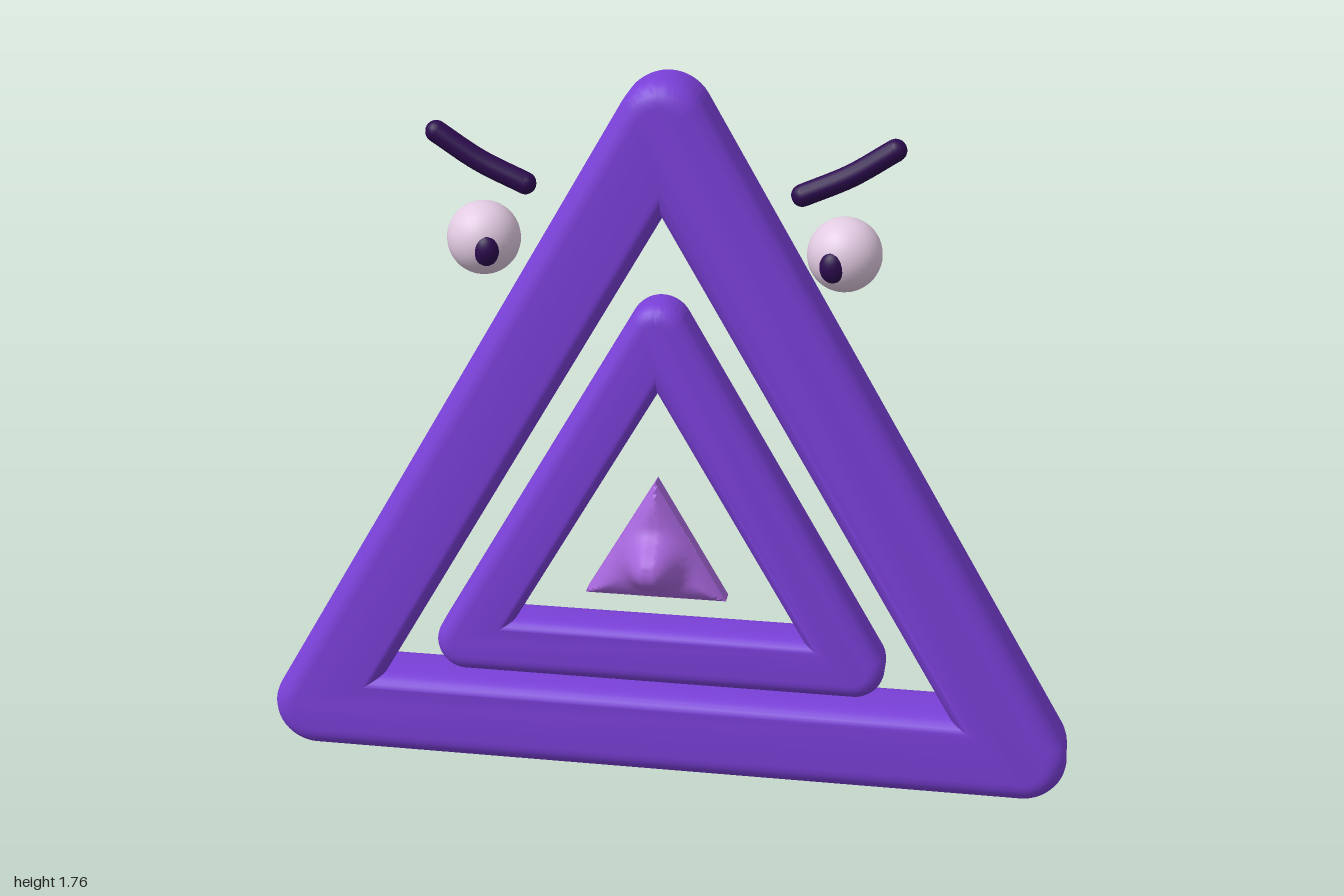
import * as THREE from 'three';
import { toCreasedNormals } from 'three/addons/utils/BufferGeometryUtils.js';

const S3 = Math.sqrt(3);

export function createModel() {
  const mat = (name, color) => new THREE.MeshStandardMaterial({ name, color });
  const violet = mat('violet', 0x7a40d8);
  const orchid = mat('orchid', 0xa766dc);
  const paleLilac = mat('paleLilac', 0xe2cbe2);
  const darkPurple = mat('darkPurple', 0x2c0b4e);

  const root = new THREE.Group();
  root.name = 'triangleFace';
  const add = (parent, name, geometry, material) => {
    const m = new THREE.Mesh(geometry, material);
    m.name = name;
    parent.add(m);
    return m;
  };

  // Equilateral frame: centreline half width w and base y, bar half width r
  const frame = (name, w, y, r, zBack, zFront, bevel) => {
    const shape = new THREE.Shape();
    const top = y + w * S3, d = Math.PI / 180;
    shape.absarc(w, y, r, -90 * d, 30 * d, false);
    shape.absarc(0, top, r, 30 * d, 150 * d, false);
    shape.absarc(-w, y, r, 150 * d, 270 * d, false);
    const hole = new THREE.Path();
    hole.moveTo(0, top - 2 * r);
    hole.lineTo(-(w - r * S3), y + r);
    hole.lineTo(w - r * S3, y + r);
    hole.closePath();
    shape.holes.push(hole);
    const g = new THREE.ExtrudeGeometry(shape, {
      depth: zFront - zBack - 2 * bevel, bevelEnabled: true, bevelSize: bevel,
      bevelThickness: bevel, bevelOffset: -bevel, bevelSegments: 6, curveSegments: 14,
    });
    g.translate(0, 0, zBack + bevel);
    add(root, name, toCreasedNormals(g, 0.7), violet);
  };
  frame('outerFrame', 0.89, 0.11, 0.107, -0.175, 0.02, 0.055);
  frame('innerFrame', 0.477, 0.352, 0.073, -0.07, 0.07, 0.042);

  // Nose: triangular slab with a soft rim and a round bump in the middle
  const N = 36, half = 0.17, y0 = 0.525, h = half * S3, zBack = 0.03;
  const point = (i, j) => { // i rows from the apex, j across
    const a = 1 - i / N, c = j / N, b = 1 - a - c;
    const x = (c - b) * half, y = y0 + a * h;
    const edge = Math.max(0, Math.min(a, b, c)) * h;
    const dist = Math.hypot(x, y - (y0 + h / 3));
    const z = 0.07 + 0.033 * (1 - Math.exp(-edge / 0.02))
      + 0.073 * Math.exp(-Math.pow(dist / 0.058, 3));
    return [x, y, z];
  };
  const pos = [];
  const tri = (...p) => p.forEach((v) => pos.push(...v));
  for (let i = 0; i < N; i++) {
    for (let j = 0; j <= i; j++) {
      tri(point(i, j), point(i + 1, j), point(i + 1, j + 1));
      if (j < i) tri(point(i, j), point(i + 1, j + 1), point(i, j + 1));
    }
  }
  const corners = [point(0, 0), point(N, 0), point(N, N)];
  const back = corners.map(([x, y]) => [x, y, zBack]);
  tri(back[0], back[2], back[1]);
  for (let k = 0; k < 3; k++) {
    const n = (k + 1) % 3;
    tri(corners[k], back[k], back[n]);
    tri(corners[k], back[n], corners[n]);
  }
  const noseGeo = new THREE.BufferGeometry();
  noseGeo.setAttribute('position', new THREE.Float32BufferAttribute(pos, 3));
  add(root, 'nose', toCreasedNormals(noseGeo, 0.6), orchid);

  // Eyes, pupils and slanted brows on both sides
  for (const [side, s] of [['left', 1], ['right', -1]]) {
    const eye = new THREE.Group();
    eye.name = side + 'Eye';
    root.add(eye);
    add(eye, side + 'Eyeball', new THREE.SphereGeometry(0.086, 32, 24), paleLilac)
      .position.set(s * 0.42, 1.37, -0.03);
    const pupil = add(eye, side + 'Pupil', new THREE.SphereGeometry(1, 24, 16), darkPurple);
    pupil.position.set(s * 0.399, 1.36, 0.04);
    pupil.scale.set(0.03, 0.037, 0.024);

    const brow = new THREE.Group();
    brow.name = side + 'Brow';
    root.add(brow);
    const pts = [[0.32, 1.503], [0.428, 1.553], [0.526, 1.616]]
      .map(([x, y]) => new THREE.Vector3(s * x, y, -0.034));
    add(brow, side + 'BrowBar',
      new THREE.TubeGeometry(new THREE.CatmullRomCurve3(pts), 16, 0.026, 14), darkPurple);
    for (const p of [pts[0], pts[2]]) {
      add(brow, side + 'BrowTip', new THREE.SphereGeometry(0.026, 14, 12), darkPurple)
        .position.copy(p);
    }
  }
  return root;
}
